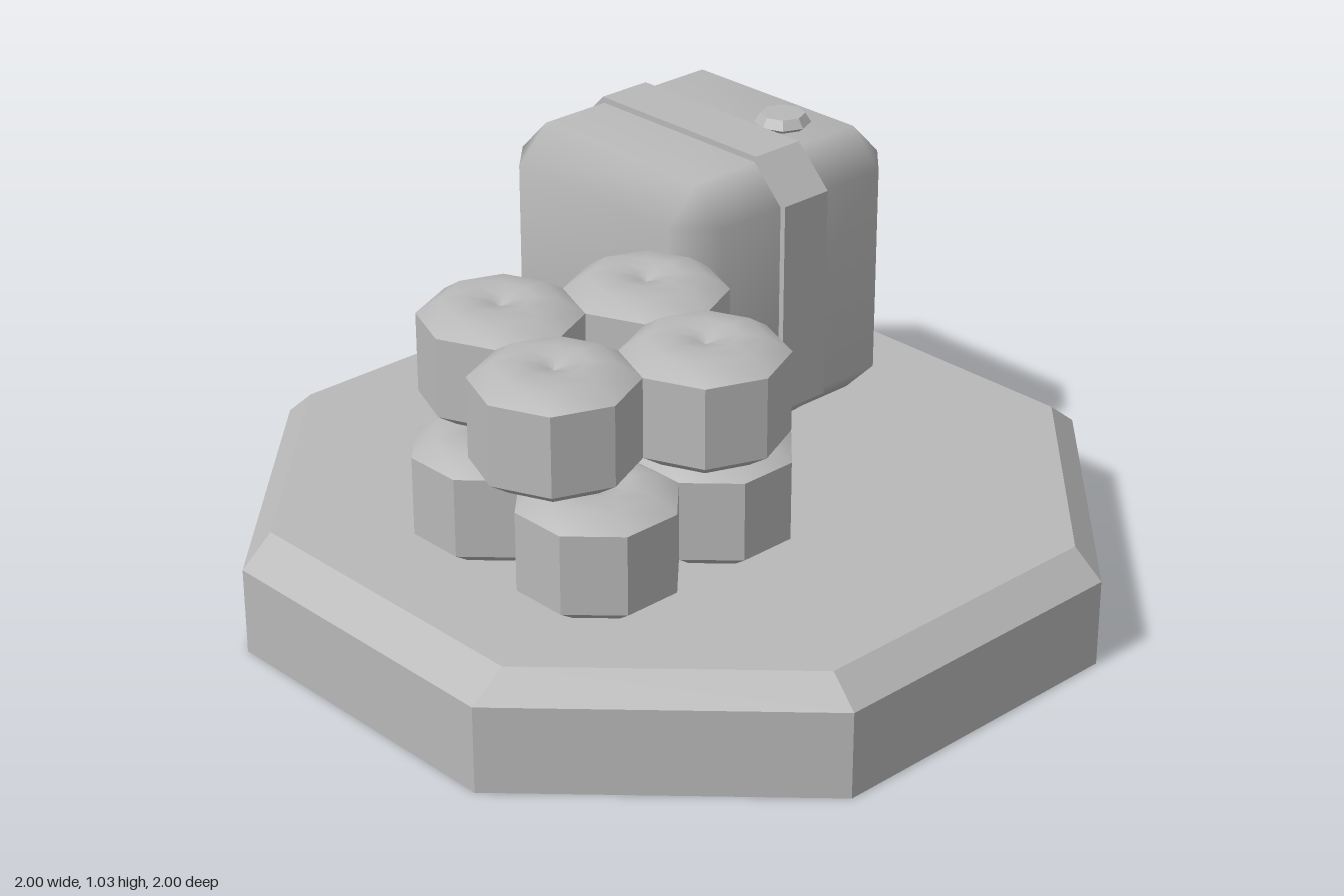
import * as THREE from 'three';
import { mergeVertices, toCreasedNormals } from 'three/addons/utils/BufferGeometryUtils.js';
import { ConvexGeometry } from 'three/addons/geometries/ConvexGeometry.js';

const SIGNS = [-1, 1];

// Box with flat chamfers on every edge and softly blended normals
function chamferedBox(w, h, d, c) {
  const points = [];
  for (const sx of SIGNS) for (const sy of SIGNS) for (const sz of SIGNS) {
    for (let axis = 0; axis < 3; axis++) {
      const half = [w / 2, h / 2, d / 2].map((v, i) => (i === axis ? v : v - c));
      points.push(new THREE.Vector3(half[0] * sx, half[1] * sy, half[2] * sz));
    }
  }
  let geometry = new ConvexGeometry(points);
  geometry.deleteAttribute('normal');
  geometry = mergeVertices(geometry, 1e-4);
  geometry.computeVertexNormals();
  return geometry;
}

// Eight-sided turned form with crisp side edges
function octagonalLathe(profile, phase = 0, crease = 0.7) {
  const points = profile.map(([r, y]) => new THREE.Vector2(r, y));
  return toCreasedNormals(new THREE.LatheGeometry(points, 8, phase), crease);
}

export function createModel() {
  const model = new THREE.Group();
  model.name = 'suppliesOnBase';
  const material = new THREE.MeshStandardMaterial({ color: 0xb8b8b8 });
  material.name = 'plainGrey';

  function add(name, geometry, x, y, z, parent = model) {
    const mesh = new THREE.Mesh(geometry, material);
    mesh.name = name;
    mesh.position.set(x, y, z);
    parent.add(mesh);
    return mesh;
  }

  // Octagonal base with a bevelled rim
  const basePoints = [];
  for (const [y, corners] of [
    [0, [[0.414, 1], [1, 0.414]]],
    [0.22, [[0.414, 1], [1, 0.414]]],
    [0.288, [[0.403, 0.925], [0.913, 0.415]]],
  ]) {
    for (const [x, z] of corners) for (const sx of SIGNS) for (const sz of SIGNS) {
      basePoints.push(new THREE.Vector3(x * sx, y, z * sz));
    }
  }
  add('base', new ConvexGeometry(basePoints), 0, 0, 0);

  // Two layers of four squat cans, the upper layer turned
  const canGeometry = octagonalLathe([
    [0, 0.02], [0.08, 0], [0.14, 0.005], [0.195, 0.042],
    [0.195, 0.24], [0.14, 0.276], [0.08, 0.281], [0.03, 0.272], [0, 0.255],
  ], Math.PI / 8);
  for (const [name, y, turn] of [['lowerCans', 0.288, 0], ['upperCans', 0.577, -0.375]]) {
    const layer = new THREE.Group();
    layer.name = name;
    layer.position.set(-0.36, y, 0.137);
    layer.rotation.y = turn;
    for (const sx of SIGNS) for (const sz of SIGNS) {
      add('can', canGeometry, sx * 0.18, 0, sz * 0.18, layer);
    }
    model.add(layer);
  }

  // Chunky container
  const container = new THREE.Group();
  container.name = 'container';
  container.position.set(0.355, 0.645, -0.29);
  model.add(container);
  add('containerBody', chamferedBox(0.714, 0.714, 0.714, 0.09), 0, 0, 0, container);

  // Strap wrapped around the container, with chamfered corners
  const a = 0.372, b = 0.272;
  const outline = [[a, -b], [a, b], [b, a], [-b, a], [-a, b], [-a, -b], [-b, -0.356], [b, -0.356]];
  const strapShape = new THREE.Shape(outline.map(([z, y]) => new THREE.Vector2(z, y)));
  const strapGeometry = new THREE.ExtrudeGeometry(strapShape, { depth: 0.146, bevelEnabled: false });
  strapGeometry.translate(0, 0, -0.073).rotateY(Math.PI / 2);
  add('strap', strapGeometry, 0, 0, 0, container);

  // Screw cap on top
  const capGeometry = octagonalLathe([
    [0, -0.02], [0.055, -0.02], [0.055, 0], [0.07, 0.012], [0.055, 0.035], [0, 0.035],
  ], 0, 0.4);
  add('cap', capGeometry, 0.145, 0.355, 0.145, container);

  // Raised plates low on both sides
  const plateGeometry = new THREE.BoxGeometry(0.04, 0.136, 0.218);
  for (const s of SIGNS) add('sidePlate', plateGeometry, s * 0.352, -0.173, s * 0.148, container);

  return model;
}
